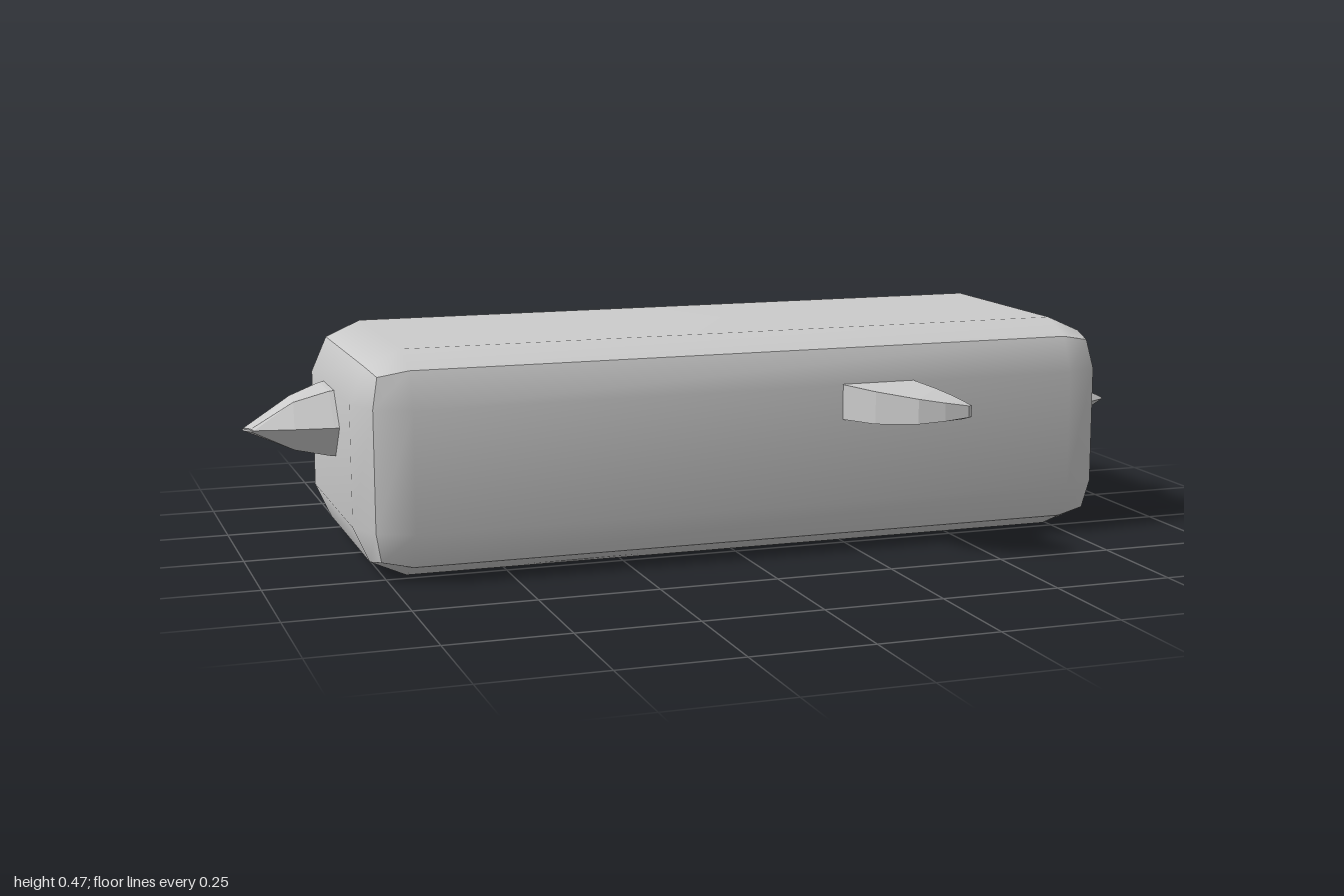
import * as THREE from 'three';

const material = new THREE.MeshStandardMaterial({ color: 0xcccccc });
const flat = new THREE.MeshStandardMaterial({ color: 0xcccccc, flatShading: true });

// Closed flat-shaded skin through rings with equal point counts
function loft(name, rings) {
  const tris = [];
  const n = rings[0].length;
  for (let r = 0; r + 1 < rings.length; r++) {
    for (let i = 0; i < n; i++) {
      const j = (i + 1) % n;
      const [a, b, c, d] = [rings[r][i], rings[r][j], rings[r + 1][j], rings[r + 1][i]];
      tris.push([a, b, c], [a, c, d]);
    }
  }
  const last = rings[rings.length - 1];
  for (let i = 1; i + 1 < n; i++) {
    tris.push([rings[0][0], rings[0][i + 1], rings[0][i]], [last[0], last[i], last[i + 1]]);
  }
  // Turn the faces outward whichever way the rings run
  const v = (p) => new THREE.Vector3(...p);
  const volume = tris.reduce((s, [a, b, c]) => s + v(a).dot(v(b).cross(v(c))), 0);
  if (volume < 0) tris.forEach((t) => t.reverse());
  const geometry = new THREE.BufferGeometry();
  geometry.setAttribute('position', new THREE.Float32BufferAttribute(tris.flat(2), 3));
  geometry.computeVertexNormals();
  const mesh = new THREE.Mesh(geometry, flat);
  mesh.name = name;
  return mesh;
}

// Block whose edges and corners are pulled inward, smooth within each side
function makeBody() {
  const half = [0.83, 0.2325, 0.33];
  const geometry = new THREE.BoxGeometry(2, 2, 2, 3, 3, 3);
  const pos = geometry.attributes.position;
  for (let i = 0; i < pos.count; i++) {
    const p = [pos.getX(i), pos.getY(i), pos.getZ(i)];
    const outer = p.filter((c) => Math.abs(c) > 0.9).length;
    const inset = [0, 0, 0.033, 0.045][outer];
    const q = p.map((c, k) => Math.sign(c) * (half[k] - (Math.abs(c) > 0.9 ? inset : 0.107)));
    pos.setXYZ(i, ...q);
  }
  geometry.computeVertexNormals();
  const body = new THREE.Mesh(geometry, material);
  body.name = 'body';
  body.position.set(0.02, 0.2325, 0);
  return body;
}

// Hexagonal section: mid points at z0 and z1, ridges at r0 and r1;
// each pair is [x, z] so a section may be slanted
function hexRing(y, h, [z0, r0, r1, z1]) {
  return [
    [z0[0], y, z0[1]], [r0[0], y + h, r0[1]], [r1[0], y + h, r1[1]],
    [z1[0], y, z1[1]], [r1[0], y - h, r1[1]], [r0[0], y - h, r0[1]],
  ];
}

// Swept-back fin: rows of [outer x, outer z, inner x, inner z, half height]
function makeFin(name, rows) {
  const y = 0.323;
  return loft(name, rows.map(([x0, z0, x1, z1, h]) => [
    [x0, y - h, z0], [x1, y - h, z1], [x1, y + h, z1], [x0, y + h, z0],
  ]));
}

export function createModel() {
  const group = new THREE.Group();
  group.add(makeBody());

  // Straight pointed nose
  const noseRing = (x, h, z, r) => hexRing(0.234, h, [[x, -z], [x, -r], [x, r], [x, z]]);
  group.add(loft('nose', [
    noseRing(0.83, 0.076, 0.118, 0.044),
    noseRing(0.85, 0.071, 0.11, 0.04),
    noseRing(1, 0.003, 0.018, 0.012),
  ]));

  // Tail spike bending towards the front
  group.add(loft('tail', [
    hexRing(0.29, 0.072, [[-0.78, -0.13], [-0.78, -0.08], [-0.78, 0.05], [-0.78, 0.11]]),
    hexRing(0.29, 0.068, [[-0.84, -0.13], [-0.82, -0.072], [-0.82, 0.05], [-0.82, 0.105]]),
    hexRing(0.29, 0.05, [[-0.91, -0.07], [-0.89, -0.03], [-0.895, 0.055], [-0.9, 0.095]]),
    hexRing(0.29, 0.003, [[-1, 0.05], [-0.998, 0.056], [-0.985, 0.074], [-0.98, 0.08]]),
  ]));

  // Side fins
  group.add(makeFin('leftFin', [
    [0.21, 0.3, 0.37, 0.3, 0.038],
    [0.21, 0.335, 0.372, 0.335, 0.037],
    [0.245, 0.42, 0.38, 0.42, 0.034],
    [0.31, 0.49, 0.395, 0.47, 0.026],
    [0.36, 0.512, 0.405, 0.5, 0.019],
    [0.408, 0.522, 0.416, 0.518, 0.012],
  ]));
  group.add(makeFin('rightFin', [
    [0.205, -0.3, 0.36, -0.3, 0.038],
    [0.206, -0.335, 0.362, -0.335, 0.037],
    [0.24, -0.435, 0.37, -0.42, 0.034],
    [0.3, -0.505, 0.385, -0.475, 0.026],
    [0.355, -0.523, 0.395, -0.505, 0.019],
    [0.4, -0.527, 0.407, -0.524, 0.012],
  ]));
  return group;
}
